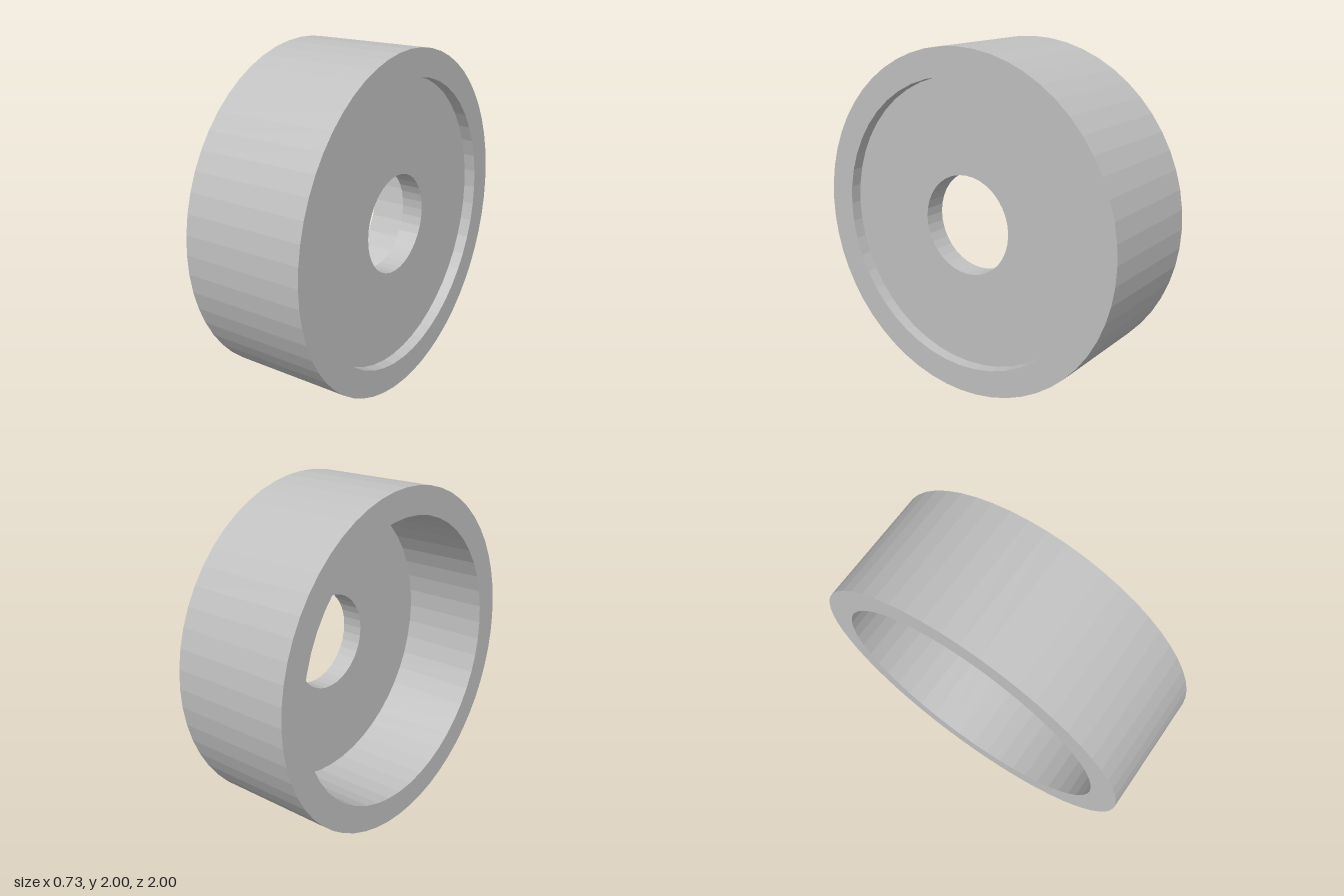
import * as THREE from 'three';

// Regular polygon points approximating a circle
function circle(radius, sides) {
  return Array.from({ length: sides }, (_, i) => {
    const a = (i / sides) * Math.PI * 2;
    return new THREE.Vector2(Math.cos(a) * radius, Math.sin(a) * radius);
  });
}

// Flat-faceted ring whose axis runs along x, from x0 to x1
function ring(name, outer, inner, x0, x1, material) {
  const shape = new THREE.Shape(circle(...outer));
  shape.holes.push(new THREE.Path(circle(...inner)));
  const geometry = new THREE.ExtrudeGeometry(shape, { depth: x1 - x0, bevelEnabled: false, steps: 1 });
  geometry.rotateY(Math.PI / 2).translate(x0, 1, 0);
  const mesh = new THREE.Mesh(geometry, material);
  mesh.name = name;
  return mesh;
}

export function createModel() {
  const model = new THREE.Group();
  model.name = 'wheel';
  const grey = new THREE.MeshStandardMaterial({ color: 0xc0c0c0 });
  grey.name = 'light grey';

  // Broad outer rim
  model.add(ring('rim', [1, 56], [0.84, 48], -0.365, 0.365, grey));
  // Web plate with the axle hole, set slightly back from the +x face
  model.add(ring('webPlate', [0.84, 48], [0.29, 36], 0.165, 0.295, grey));
  return model;
}
